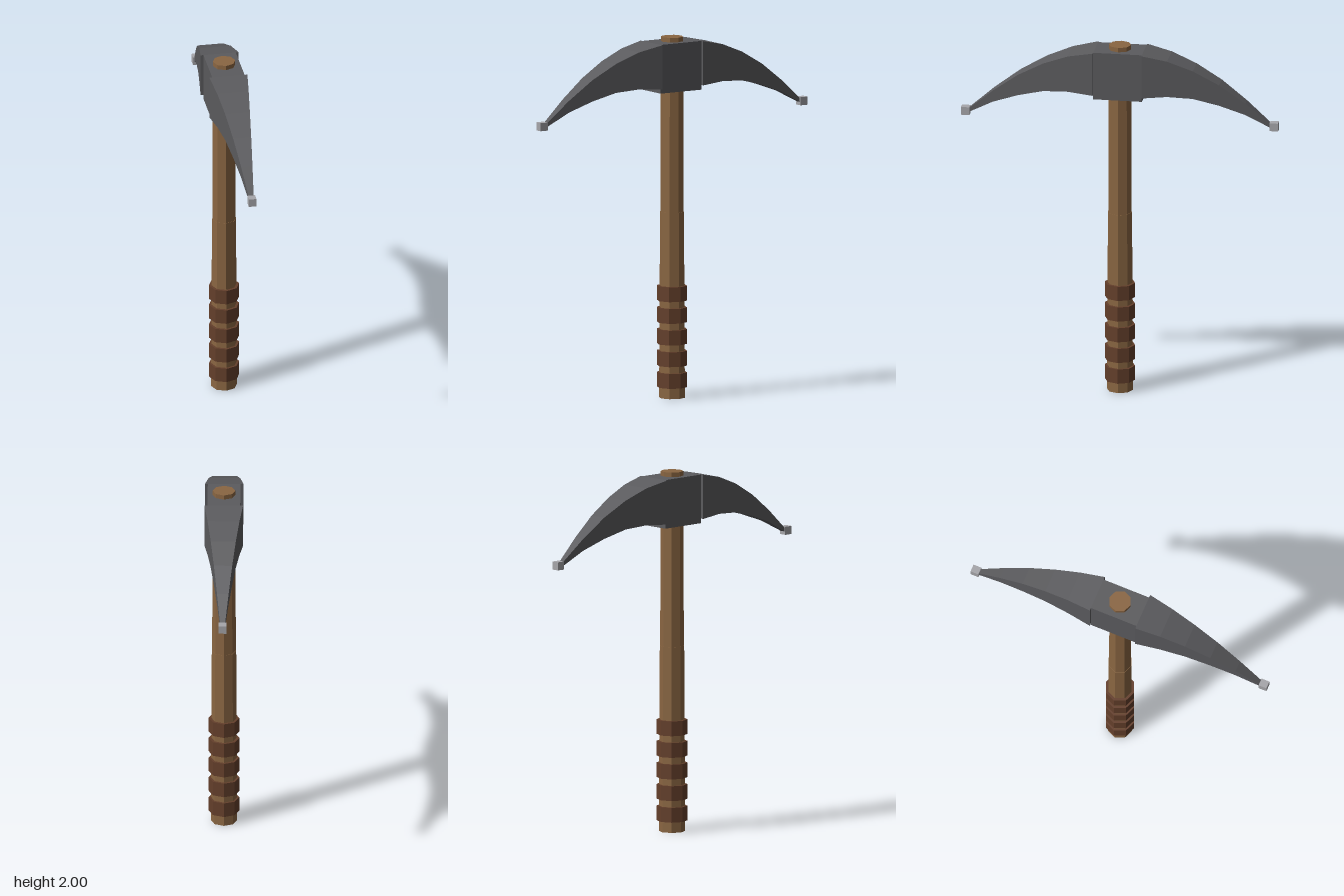
import * as THREE from 'three';

export function createModel() {
  const group = new THREE.Group();
  group.name = 'pickaxe';

  const flat = (name, color) => {
    const m = new THREE.MeshStandardMaterial({ color, flatShading: true });
    m.name = name;
    return m;
  };
  const wood = flat('wood', 0x8a6642);
  const leather = flat('leather', 0x643f2b);
  const iron = flat('iron', 0x5b5b5e);
  const steel = flat('steel', 0xa6a6aa);

  const add = (name, geometry, material, y = 0, z = 0) => {
    const mesh = new THREE.Mesh(geometry, material);
    mesh.name = name;
    mesh.position.set(0, y, z);
    group.add(mesh);
    return mesh;
  };
  // Octagonal rod between two heights
  const rod = (name, rTop, rBottom, y0, y1, material) =>
    add(name, new THREE.CylinderGeometry(rTop, rBottom, y1 - y0, 8), material, (y0 + y1) / 2);

  // Handle in two slightly tapering lengths
  rod('lowerHandle', 0.067, 0.072, 0, 1.03, wood);
  rod('upperHandle', 0.062, 0.065, 1.03, 2, wood);

  // Grip bands
  for (let i = 0; i < 5; i++) {
    const y = 0.1 + i * 0.12;
    rod('gripBand', 0.084, 0.084, y - 0.041, y + 0.041, leather);
  }

  // Head block around the handle
  add('headBlock', new THREE.BoxGeometry(0.18, 0.27, 0.27), iron, 1.84);

  // Curved, tapering blade: [z, bottom, top] stations along its length
  const stations = [
    [0.135, 1.73, 1.975], [0.275, 1.74, 1.945], [0.415, 1.73, 1.89],
    [0.558, 1.692, 1.81], [0.7, 1.64, 1.705], [0.84, 1.565, 1.585],
  ];
  const bladeGeometry = new THREE.BoxGeometry(2, 2, 1, 1, 1, 5);
  const p = bladeGeometry.attributes.position;
  for (let i = 0; i < p.count; i++) {
    const k = Math.round((p.getZ(i) + 0.5) * 5);
    const [z, bottom, top] = stations[k];
    const halfWidth = THREE.MathUtils.lerp(0.106, 0.013, k / 5);
    p.setXYZ(i, p.getX(i) * halfWidth, p.getY(i) > 0 ? top : bottom, z);
  }
  bladeGeometry.computeVertexNormals();

  // Front and back blades, each with a bright tip
  add('frontBlade', bladeGeometry, iron);
  add('backBlade', bladeGeometry, iron).rotation.y = Math.PI;
  for (const s of [1, -1]) {
    add(s > 0 ? 'frontTip' : 'backTip', new THREE.BoxGeometry(0.043, 0.045, 0.047), steel, 1.573, s * 0.856);
  }

  return group;
}
